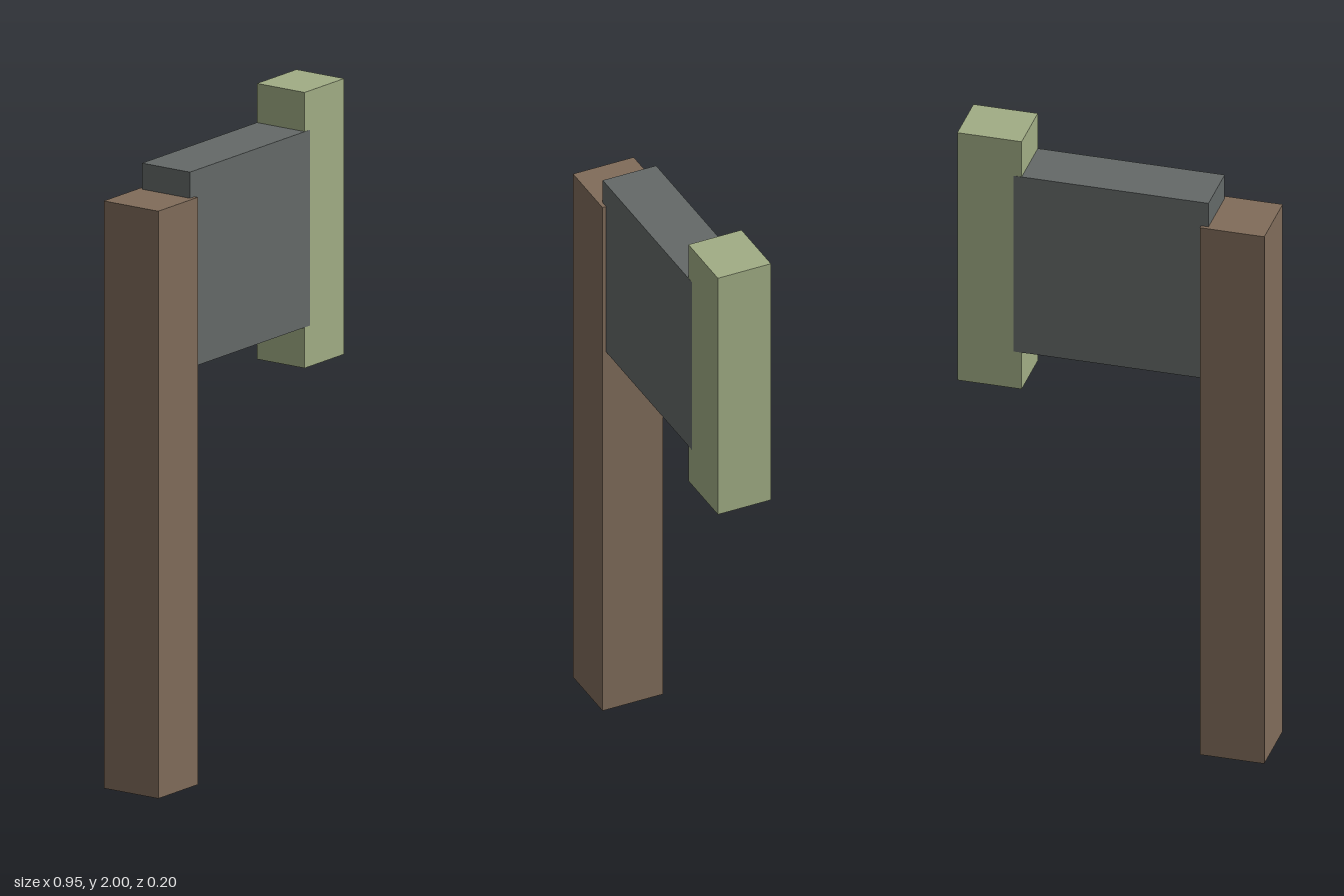
import * as THREE from 'three';

const material = (name, color) => {
  const m = new THREE.MeshStandardMaterial({ color });
  m.name = name;
  return m;
};

// Box given by its x and y limits and its depth, centred on z = 0
function block(name, mat, x0, x1, y0, y1, depth) {
  const mesh = new THREE.Mesh(new THREE.BoxGeometry(x1 - x0, y1 - y0, depth), mat);
  mesh.position.set((x0 + x1) / 2, (y0 + y1) / 2, 0);
  mesh.name = name;
  return mesh;
}

export function createModel() {
  const model = new THREE.Group();
  model.name = 'hammer';
  const brown = material('brown wood', 0x806c5a);
  const grey = material('dark grey', 0x646968);
  const green = material('pale green', 0xa1ad85);

  model.add(
    // Long post
    block('handle', brown, -0.475, -0.277, 0, 1.8, 0.2),
    // Block joining post and end piece, a hair proud of the end piece
    block('head', grey, -0.3, 0.3, 1.28, 1.88, 0.176),
    // Upright end piece
    block('endPiece', green, 0.275, 0.473, 1.155, 2, 0.175)
  );
  return model;
}
